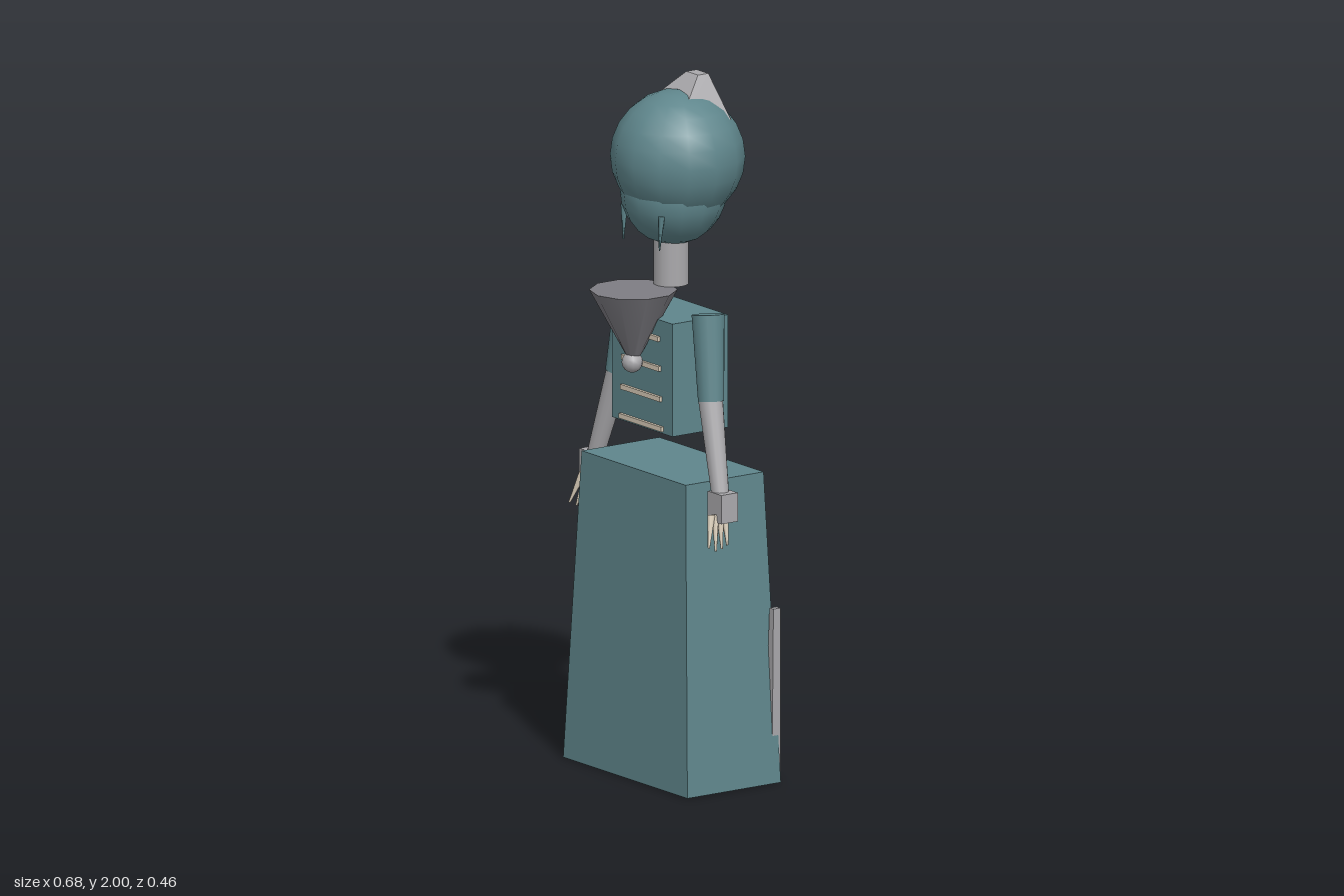
import * as THREE from 'three';

const mat = (name, color) => {
  const m = new THREE.MeshStandardMaterial({ color });
  m.name = name;
  return m;
};

// Tapered four-sided block: corners listed counter-clockwise seen from above, starting front left
function block(bottom, top) {
  const c = [...bottom, ...top];
  const quads = [[3, 2, 1, 0], [4, 5, 6, 7]];
  for (let i = 0; i < 4; i++) {
    const j = (i + 1) % 4;
    quads.push([i, j, j + 4, i + 4]);
  }
  const pos = [];
  for (const [a, b, d, e] of quads) for (const k of [a, b, d, a, d, e]) pos.push(...c[k]);
  const g = new THREE.BufferGeometry();
  g.setAttribute('position', new THREE.Float32BufferAttribute(pos, 3));
  g.computeVertexNormals();
  return g;
}

// Level rectangle of corners at height y
const rect = (x0, x1, y, z0, z1) => [[x0, y, z1], [x1, y, z1], [x1, y, z0], [x0, y, z0]];

export function createModel() {
  const teal = mat('teal cloth', 0x5f868c);
  const pale = mat('pale grey', 0xaaa9ac);
  const grey = mat('mid grey', 0x7e7d83);
  const bone = mat('bone', 0xd8ccb8);

  const model = new THREE.Group();
  model.name = 'figure';
  const add = (name, geo, material, x = 0, y = 0, z = 0) => {
    const m = new THREE.Mesh(geo, material);
    m.name = name;
    m.position.set(x, y, z);
    model.add(m);
    return m;
  };
  // Round bar from point a to point b
  const rod = (name, a, b, ra, rb, material, sides = 14) => {
    const A = new THREE.Vector3(...a), B = new THREE.Vector3(...b);
    const d = B.clone().sub(A);
    const m = add(name, new THREE.CylinderGeometry(rb, ra, d.length(), sides), material);
    m.position.copy(A).addScaledVector(d, 0.5);
    m.quaternion.setFromUnitVectors(new THREE.Vector3(0, 1, 0), d.normalize());
    return m;
  };

  // Skirt and torso
  add('skirt', block(rect(-0.297, 0.297, 0, -0.187, 0.136), rect(-0.249, 0.249, 0.89, -0.162, 0.107)), teal);
  add('torso', new THREE.BoxGeometry(0.288, 0.325, 0.192), teal, 0, 1.167, -0.019);

  // Bars across the chest
  [[1.275, 0.085], [1.19, 0.09], [1.103, 0.094], [1.018, 0.102]].forEach(([y, w]) =>
    add('chestBar', new THREE.BoxGeometry(w * 2, 0.014, 0.014), bone, 0, y, 0.079));

  // Head: large hood ball with a smaller face ball below
  add('hood', new THREE.SphereGeometry(0.19, 14, 12), teal, 0, 1.77, -0.045);
  add('face', new THREE.SphereGeometry(0.15, 14, 12), teal, 0, 1.67, -0.03);
  add('neck', new THREE.CylinderGeometry(0.05, 0.05, 0.16, 14), pale, 0, 1.485, -0.022);

  // Crest on the hood
  add('crest', block(
    [[-0.11, 1.885, 0.03], [0.11, 1.885, 0.03], [0.11, 1.88, -0.15], [-0.11, 1.88, -0.15]],
    rect(-0.028, 0.028, 2, -0.131, -0.095)), pale);

  // Inverted cone at the throat with a bead at its tip
  add('throatCone', new THREE.CylinderGeometry(0.124, 0.012, 0.205, 10), grey, 0, 1.303, 0.108);
  add('bead', new THREE.SphereGeometry(0.03, 12, 8), pale, 0, 1.197, 0.112);

  for (const s of [-1, 1]) {
    // Strand hanging beside the face
    rod('strand', [s * 0.09, 1.63, 0.075], [s * 0.086, 1.53, 0.08], 0.01, 0.002, teal, 6);

    // Arm
    rod('upperArm', [s * 0.222, 1.112, 0], [s * 0.183, 1.352, -0.018], 0.037, 0.047, teal);
    rod('forearm', [s * 0.298, 0.86, 0.023], [s * 0.22, 1.115, 0], 0.025, 0.035, pale);
    add('hand', new THREE.BoxGeometry(0.066, 0.083, 0.057), pale, s * 0.307, 0.829, 0.021);

    // Fingers
    [[0.061, 0.088, 0.722], [0.047, 0.064, 0.71], [0.031, 0.043, 0.714], [0.015, 0.024, 0.722]].forEach(([z0, z1, y]) =>
      rod('finger', [s * 0.307, 0.808, z0], [s * 0.333, y, z1], 0.011, 0.003, bone, 8));

    // Slat along the rear corner of the skirt, with a small pin
    const lo = s > 0 ? [0.247, 0.285] : [-0.285, -0.247];
    const hi = s > 0 ? [0.284, 0.303] : [-0.303, -0.284];
    add('rearSlat', block(rect(lo[0], lo[1], 0.005, -0.195, -0.165), rect(hi[0], hi[1], 0.505, -0.181, -0.157)), pale);
    add('pin', new THREE.BoxGeometry(0.018, 0.025, 0.014), pale, s * 0.243, 0.41, -0.176);

    // Sole showing under the skirt
    add('sole', new THREE.BoxGeometry(0.08, 0.008, 0.06), grey, s * 0.185, 0.003, 0.005);
  }
  return model;
}
